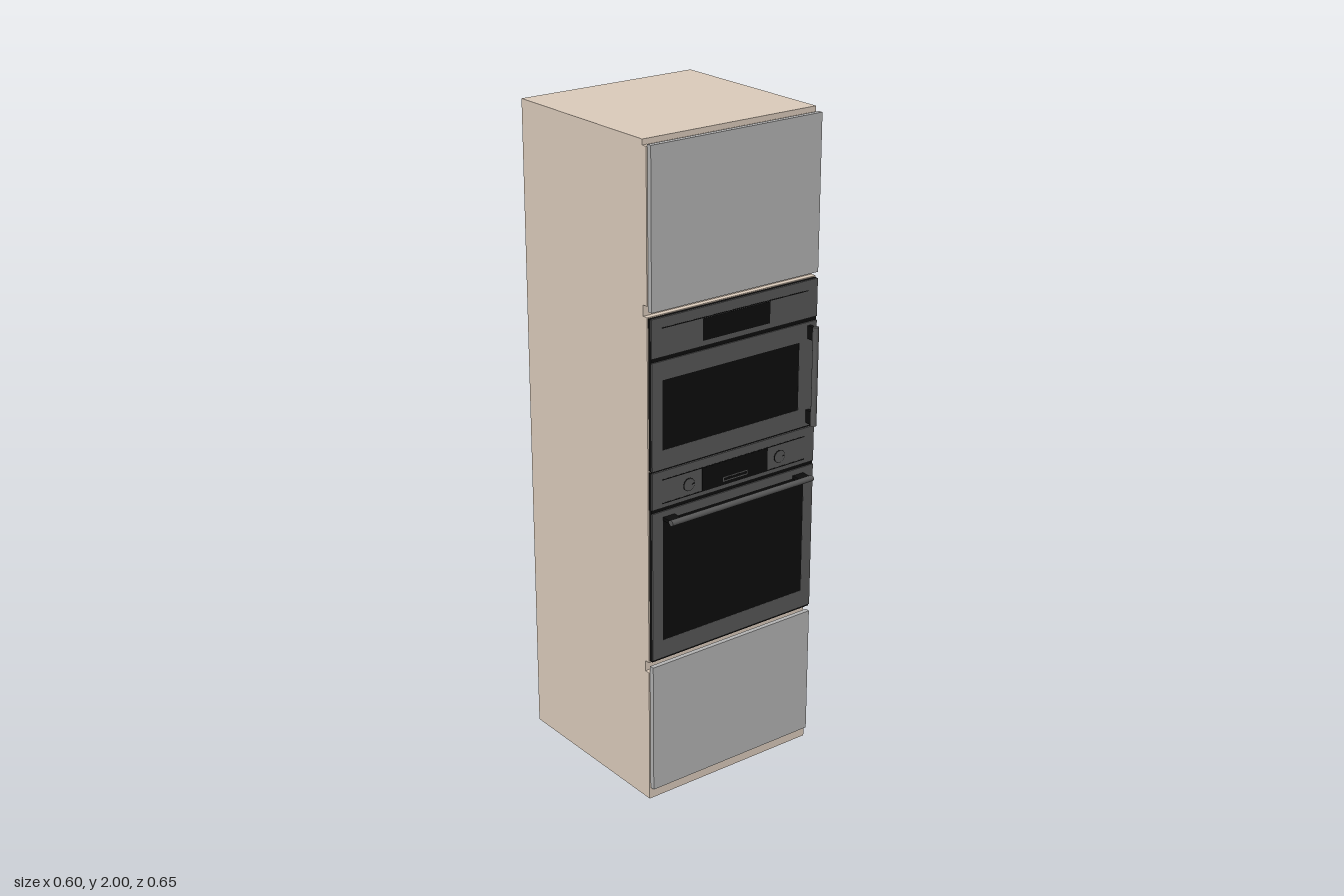
import * as THREE from 'three';

const material = (color) => new THREE.MeshStandardMaterial({ color });

export function createModel() {
  const group = new THREE.Group();
  const wood = material(0xdacaba);
  const doorGrey = material(0xb2b2b2);
  const steel = material(0x575757);
  const black = material(0x0d0d0d);

  const add = (name, geometry, mat) => {
    const mesh = new THREE.Mesh(geometry, mat);
    mesh.name = name;
    group.add(mesh);
    return mesh;
  };
  // Box given by its limits on each axis
  const box = (name, mat, x0, x1, y0, y1, z0, z1) => {
    const mesh = add(name, new THREE.BoxGeometry(x1 - x0, y1 - y0, z1 - z0), mat);
    mesh.position.set((x0 + x1) / 2, (y0 + y1) / 2, (z0 + z1) / 2);
    return mesh;
  };
  // Steel plate, with an optional rectangular opening [x0, x1, y0, y1]
  const plate = (name, y0, y1, opening) => {
    const rect = (path, a, b, c, d) =>
      path.moveTo(a, c).lineTo(b, c).lineTo(b, d).lineTo(a, d).closePath();
    const shape = rect(new THREE.Shape(), -0.296, 0.296, y0, y1);
    if (opening) shape.holes.push(rect(new THREE.Path(), ...opening));
    const geometry = new THREE.ExtrudeGeometry(shape, { depth: 0.004, bevelEnabled: false });
    add(name, geometry, steel).position.z = 0.271;
  };

  // Cabinet carcass: side profile with finger grooves, extruded across the width
  const front = 0.26, groove = 0.243;
  const profile = new THREE.Shape([
    [-0.325, 0], [front, 0],
    [front, 0.424], [groove, 0.424], [groove, 0.457], [front, 0.457],
    [front, 1.511], [groove, 1.511], [groove, 1.543], [front, 1.543],
    [front, 1.984], [groove, 1.984], [groove, 2], [-0.325, 2],
  ].map(([z, y]) => new THREE.Vector2(z, y)));
  const carcass = new THREE.ExtrudeGeometry(profile, { depth: 0.6, bevelEnabled: false });
  carcass.rotateY(-Math.PI / 2).translate(0.3, 0, 0);
  add('cabinetCarcass', carcass, wood);

  // Cupboard doors
  box('lowerDoor', doorGrey, -0.296, 0.296, 0.037, 0.445, front, 0.275);
  box('upperDoor', doorGrey, -0.296, 0.296, 1.527, 1.989, front, 0.275);

  // Oven bodies, seen as dark gaps around the steel plates
  box('ovenBody', black, -0.296, 0.296, 0.462, 1.055, front, 0.271);
  box('microwaveBody', black, -0.296, 0.296, 1.06, 1.508, front, 0.271);

  // Steel fronts with their dark glass
  const ovenGlass = [-0.26, 0.26, 0.525, 0.905];
  const microwaveGlass = [-0.26, 0.232, 1.118, 1.326];
  plate('ovenDoorFrame', 0.468, 0.932, ovenGlass);
  plate('ovenControlPanel', 0.943, 1.055);
  plate('microwaveDoorFrame', 1.06, 1.382, microwaveGlass);
  plate('microwaveControlPanel', 1.394, 1.508);
  box('ovenGlass', black, ...ovenGlass, 0.271, 0.2745);
  box('microwaveGlass', black, ...microwaveGlass, 0.271, 0.2745);

  // Displays and fine trim lines
  box('ovenDisplay', black, -0.12, 0.12, 0.957, 1.027, 0.274, 0.276);
  box('microwaveDisplay', black, -0.12, 0.12, 1.41, 1.475, 0.274, 0.276);
  for (const y of [0.955, 1.027, 1.476]) {
    box('panelTrimLine', black, -0.26, 0.26, y, y + 0.003, 0.274, 0.2756);
  }
  box('displayButtons', steel, -0.045, 0.045, 0.966, 0.98, 0.275, 0.2768);
  box('displayButtonsInset', black, -0.042, 0.042, 0.969, 0.977, 0.2762, 0.2772);

  // Rotary knobs with a dark ring and a pointer
  for (const x of [-0.167, 0.165]) {
    const ring = new THREE.CylinderGeometry(0.02, 0.02, 0.002, 32).rotateX(Math.PI / 2);
    add('knobRing', ring, black).position.set(x, 0.99, 0.275);
    const knob = new THREE.CylinderGeometry(0.018, 0.018, 0.003, 32).rotateX(Math.PI / 2);
    add('knob', knob, steel).position.set(x, 0.99, 0.2755);
    box('knobPointer', black, x + 0.01, x + 0.017, 0.988, 0.992, 0.276, 0.2775);
  }

  // Horizontal oven handle
  const ovenBar = new THREE.CylinderGeometry(0.009, 0.009, 0.52, 24).rotateZ(Math.PI / 2);
  add('ovenHandle', ovenBar, steel).position.set(0, 0.909, 0.313);
  for (const x of [-0.239, 0.238]) {
    box('ovenHandlePost', black, x - 0.02, x + 0.02, 0.904, 0.914, 0.274, 0.307);
  }

  // Vertical microwave handle
  const microwaveBar = new THREE.CylinderGeometry(0.009, 0.009, 0.304, 24);
  add('microwaveHandle', microwaveBar, steel).position.set(0.268, 1.222, 0.304);
  for (const y of [1.092, 1.352]) {
    box('microwaveHandlePost', black, 0.262, 0.274, y - 0.02, y + 0.02, 0.274, 0.3);
  }

  return group;
}
